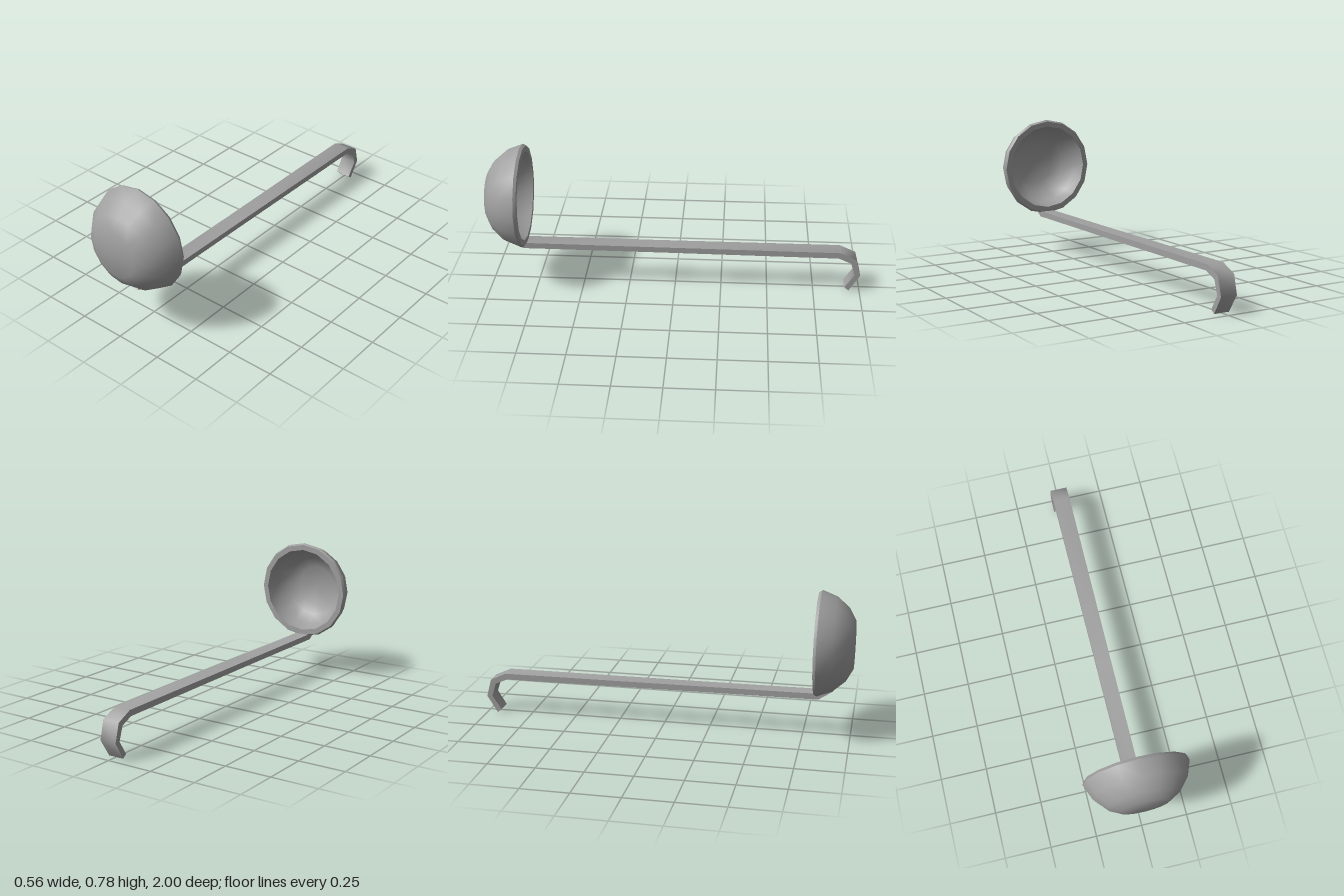
import * as THREE from 'three';
import { toCreasedNormals } from 'three/addons/utils/BufferGeometryUtils.js';

// Sweeps rectangular cross-sections [zTop, yTop, zBottom, yBottom, halfWidth] into a closed strip
function stripGeometry(stations) {
  const rings = stations.map(([zt, yt, zb, yb, w]) => [
    [w, yt, zt], [-w, yt, zt], [-w, yb, zb], [w, yb, zb],
  ]);
  const pos = [];
  const quad = (a, b, c, d) => pos.push(...a, ...b, ...c, ...a, ...c, ...d);
  for (let i = 0; i < rings.length - 1; i++) {
    const p = rings[i], q = rings[i + 1];
    for (let j = 0; j < 4; j++) {
      const k = (j + 1) % 4;
      quad(p[j], q[j], q[k], p[k]);
    }
  }
  const first = rings[0], last = rings[rings.length - 1];
  quad(first[0], first[1], first[2], first[3]);
  quad(last[3], last[2], last[1], last[0]);
  const geo = new THREE.BufferGeometry();
  geo.setAttribute('position', new THREE.Float32BufferAttribute(pos, 3));
  return toCreasedNormals(geo, 1.0);
}

export function createModel() {
  const group = new THREE.Group();
  group.name = 'ladle';
  const steel = new THREE.MeshStandardMaterial({ color: 0xa0a0a0 });
  steel.name = 'steel grey';

  // Bowl: inner wall, rim, then outer wall, turned to face forward
  const profile = [
    [0, 0.975], [0.115, 0.975], [0.172, 0.943], [0.22, 0.885], [0.24, 0.805],
    [0.27, 0.805], [0.278, 0.82], [0.247, 0.9], [0.19, 0.965], [0.127, 1], [0, 1],
  ].map(([r, z]) => new THREE.Vector2(r, z));
  const bowlGeo = new THREE.LatheGeometry(profile, 16);
  bowlGeo.rotateX(Math.PI / 2);
  const bowl = new THREE.Mesh(toCreasedNormals(bowlGeo, 0.75), steel);
  bowl.name = 'bowl';
  bowl.position.y = 0.5;
  group.add(bowl);

  // Handle: tab under the bowl, long flat bar, curled hook at the back
  const handle = new THREE.Mesh(stripGeometry([
    [0.89, 0.262, 0.9, 0.252, 0.041],
    [0.81, 0.235, 0.826, 0.203, 0.041],
    [0.1, 0.232, 0.1, 0.201, 0.042],
    [-0.888, 0.23, -0.88, 0.197, 0.046],
    [-0.974, 0.19, -0.947, 0.168, 0.047],
    [-1, 0.093, -0.97, 0.095, 0.046],
    [-0.943, 0, -0.92, 0.018, 0.043],
  ]), steel);
  handle.name = 'handle';
  group.add(handle);

  return group;
}
